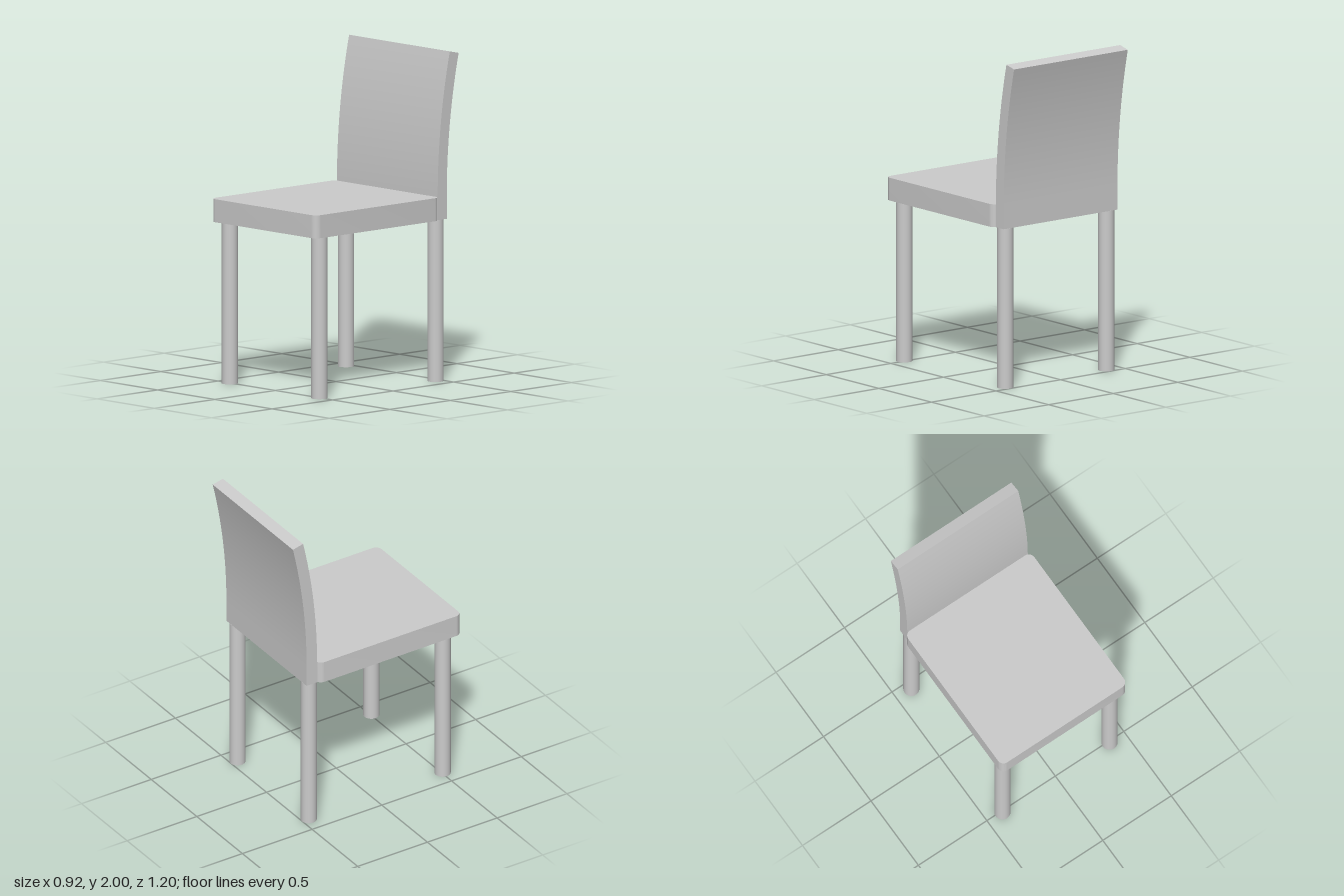
import * as THREE from 'three';
import { toCreasedNormals } from 'three/addons/utils/BufferGeometryUtils.js';

const material = new THREE.MeshStandardMaterial({ color: 0xcccccc });

const SEAT_BOTTOM = 0.985;
const SEAT_THICKNESS = 0.14;

function addMesh(group, name, geometry) {
  const mesh = new THREE.Mesh(geometry, material);
  mesh.name = name;
  group.add(mesh);
  return mesh;
}

// Seat slab outline with rounded corners, extruded upwards
function seatGeometry() {
  const x = 0.46, front = 0.6, back = -0.425, r = 0.04;
  const s = new THREE.Shape();
  s.absarc(x - r, -back - r, r, 0, Math.PI / 2);
  s.absarc(-x + r, -back - r, r, Math.PI / 2, Math.PI);
  s.absarc(-x + r, -front + r, r, Math.PI, Math.PI * 1.5);
  s.absarc(x - r, -front + r, r, Math.PI * 1.5, Math.PI * 2);
  const geo = new THREE.ExtrudeGeometry(s, { depth: SEAT_THICKNESS, bevelEnabled: false, curveSegments: 8 });
  geo.rotateX(-Math.PI / 2).translate(0, SEAT_BOTTOM, 0);
  return toCreasedNormals(geo, 0.6);
}

// Backrest side profile: straight at the foot, then an arc leaning back
function backrestGeometry() {
  const front = -0.425, thickness = 0.075, halfWidth = 0.44;
  const arcStart = 1.12, lean = THREE.MathUtils.degToRad(13);
  const radius = (2 - arcStart) / Math.sin(lean);
  const centre = front - radius;
  const s = new THREE.Shape();
  s.moveTo(front - thickness, SEAT_BOTTOM);
  s.lineTo(front, SEAT_BOTTOM);
  s.absarc(centre, arcStart, radius, 0, lean, false);
  s.absarc(centre, arcStart, radius - thickness, lean, 0, true);
  s.closePath();
  const geo = new THREE.ExtrudeGeometry(s, { depth: halfWidth * 2, bevelEnabled: false, curveSegments: 20 });
  geo.rotateY(-Math.PI / 2).translate(halfWidth, 0, 0);
  return toCreasedNormals(geo, 0.6);
}

export function createModel() {
  const chair = new THREE.Group();
  chair.name = 'chair';

  addMesh(chair, 'seat', seatGeometry());
  addMesh(chair, 'backrest', backrestGeometry());

  // Four round legs, mirrored left and right
  const legGeometry = new THREE.CylinderGeometry(0.049, 0.049, SEAT_BOTTOM, 32);
  for (const [end, z] of [['front', 0.507], ['back', -0.453]]) {
    for (const [side, sign] of [['Left', 1], ['Right', -1]]) {
      addMesh(chair, `${end}${side}Leg`, legGeometry).position.set(sign * 0.391, SEAT_BOTTOM / 2, z);
    }
  }
  return chair;
}
